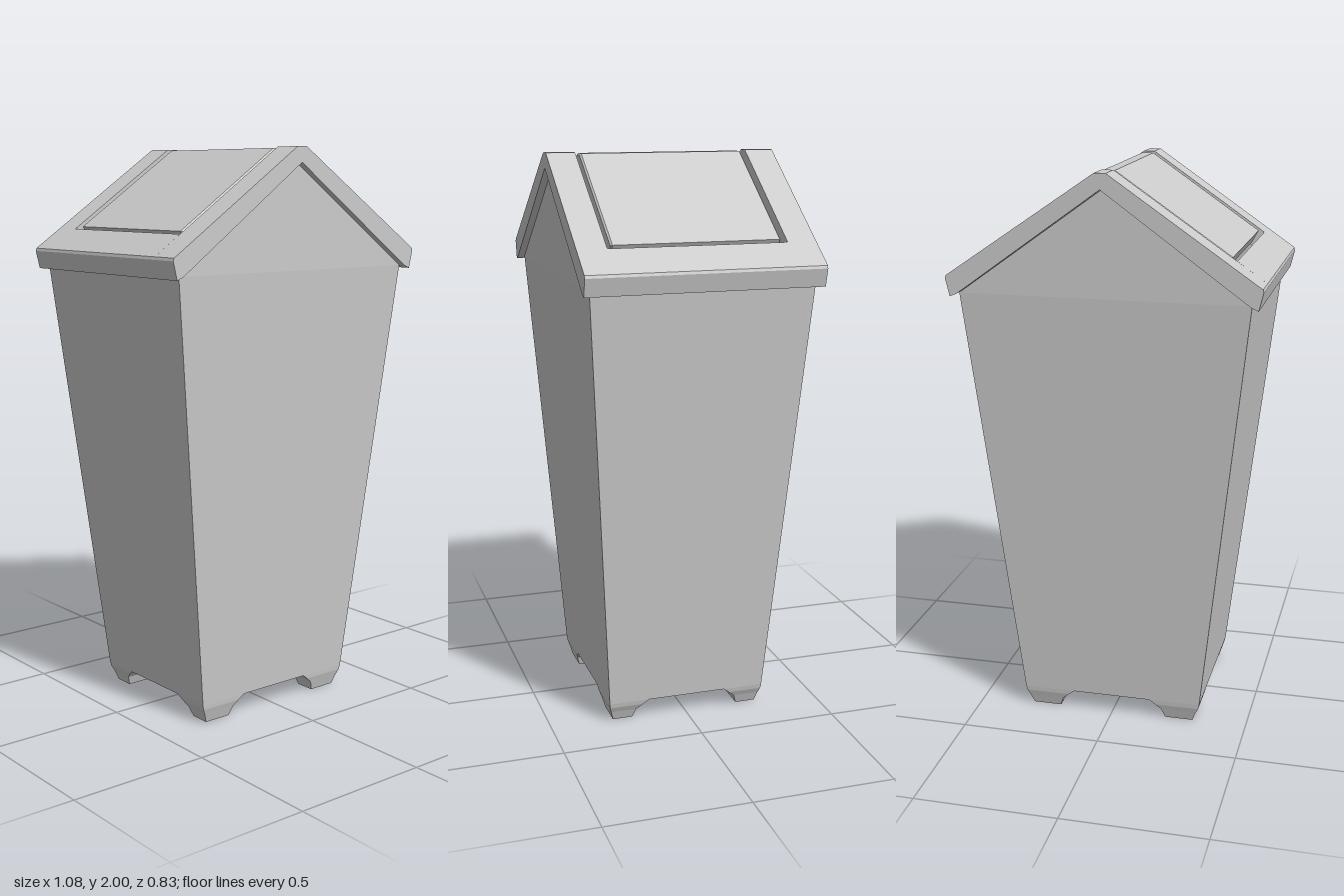
import * as THREE from 'three';

const material = new THREE.MeshStandardMaterial({
  color: 0xcccccc, flatShading: true, side: THREE.DoubleSide,
});

// Flat-faced geometry from convex polygons, corners counter-clockwise from outside
function fromPolygons(polygons) {
  const positions = [];
  for (const p of polygons) {
    for (let i = 1; i < p.length - 1; i++) positions.push(...p[0], ...p[i], ...p[i + 1]);
  }
  const geometry = new THREE.BufferGeometry();
  geometry.setAttribute('position', new THREE.Float32BufferAttribute(positions, 3));
  geometry.computeVertexNormals();
  return geometry;
}

// Horizontal rectangle, running front-left, back-left, back-right, front-right
const ring = (x0, x1, z0, z1, y) => [[x1, y, z1], [x1, y, z0], [x0, y, z0], [x0, y, z1]];

// Side walls between successive rings, listed bottom to top
function walls(rings) {
  const faces = [];
  for (let r = 0; r < rings.length - 1; r++) {
    for (let i = 0; i < 4; i++) {
      const j = (i + 1) % 4;
      faces.push([rings[r][i], rings[r][j], rings[r + 1][j], rings[r + 1][i]]);
    }
  }
  return faces;
}

// Shape in the x-y plane extruded between two z values
function slab(points, z0, z1, bevel = 0) {
  const shape = new THREE.Shape(points.map(([x, y]) => new THREE.Vector2(x, y)));
  const geometry = new THREE.ExtrudeGeometry(shape, {
    depth: z1 - z0 - 2 * bevel,
    bevelEnabled: bevel > 0, bevelSize: bevel, bevelThickness: bevel,
    bevelOffset: -bevel, bevelSegments: 1,
  });
  geometry.translate(0, 0, z0 + bevel);
  return geometry;
}

const mirrorX = (points) => points.map(([x, y]) => [-x, y]).reverse();
const roofY = (x) => 2.014 - 0.683 * x;
const underY = (x) => 1.947 - 0.722 * x;

export function createModel() {
  const group = new THREE.Group();
  const add = (name, geometry, parent = group) => {
    const mesh = new THREE.Mesh(geometry, material);
    mesh.name = name;
    parent.add(mesh);
  };

  // Hollow tapered body with pointed front and back walls
  const floorY = 0.072, rimY = 1.585;
  const base = ring(-0.33, 0.33, -0.29, 0.29, floorY);
  const rim = ring(-0.5, 0.5, -0.39, 0.39, rimY);
  add('body', fromPolygons([
    ...walls([base, rim]),
    [rim[3], rim[0], [0, 1.945, 0.39]],
    [rim[1], rim[2], [0, 1.945, -0.39]],
    base,
  ].map((p, i, all) => (i === all.length - 1 ? [...p].reverse() : p))));

  // Four corner feet, flaring into the floor
  const feet = new THREE.Group();
  feet.name = 'feet';
  group.add(feet);
  const levels = [ // y, inner edge, outer x, outer z
    [0, 0.2, 0.303, 0.272],
    [0.035, 0.188, 0.316, 0.282],
    [0.055, 0.165, 0.326, 0.288],
    [floorY, 0.143, 0.33, 0.29],
  ];
  for (const sx of [-1, 1]) {
    for (const sz of [-1, 1]) {
      const rings = levels.map(([y, inner, ox, oz]) => ring(
        Math.min(sx * inner, sx * ox), Math.max(sx * inner, sx * ox),
        Math.min(sz * inner, sz * oz), Math.max(sz * inner, sz * oz), y));
      add('foot', fromPolygons([...walls(rings), [...rings[0]].reverse()]), feet);
    }
  }

  // Gabled lid frame: two end chevrons joined by the eaves
  const lid = new THREE.Group();
  lid.name = 'lidFrame';
  group.add(lid);
  const half = [[0.02, 2], [0.537, 1.647], [0.54, 1.637], [0.525, 1.575], [0.5, 1.586]];
  const chevron = [...half, [0, 1.947], ...mirrorX(half)];
  add('lidFrontEnd', slab(chevron, 0.312, 0.415), lid);
  add('lidBackEnd', slab(chevron, -0.415, -0.312), lid);
  const eave = [[0.436, roofY(0.436)], ...half.slice(1), [0.436, underY(0.436)]];
  add('lidLeftEave', slab(eave, -0.312, 0.312), lid);
  add('lidRightEave', slab(mirrorX(eave), -0.312, 0.312), lid);

  // Swing flap set into the opening with a narrow gap all round
  const flapHalf = [[0.02, 1.996], [0.418, roofY(0.418) - 0.004], [0.395, 1.682]];
  add('swingFlap', slab([...flapHalf, [0, 1.95], ...mirrorX(flapHalf)], -0.296, 0.296, 0.006));

  return group;
}
